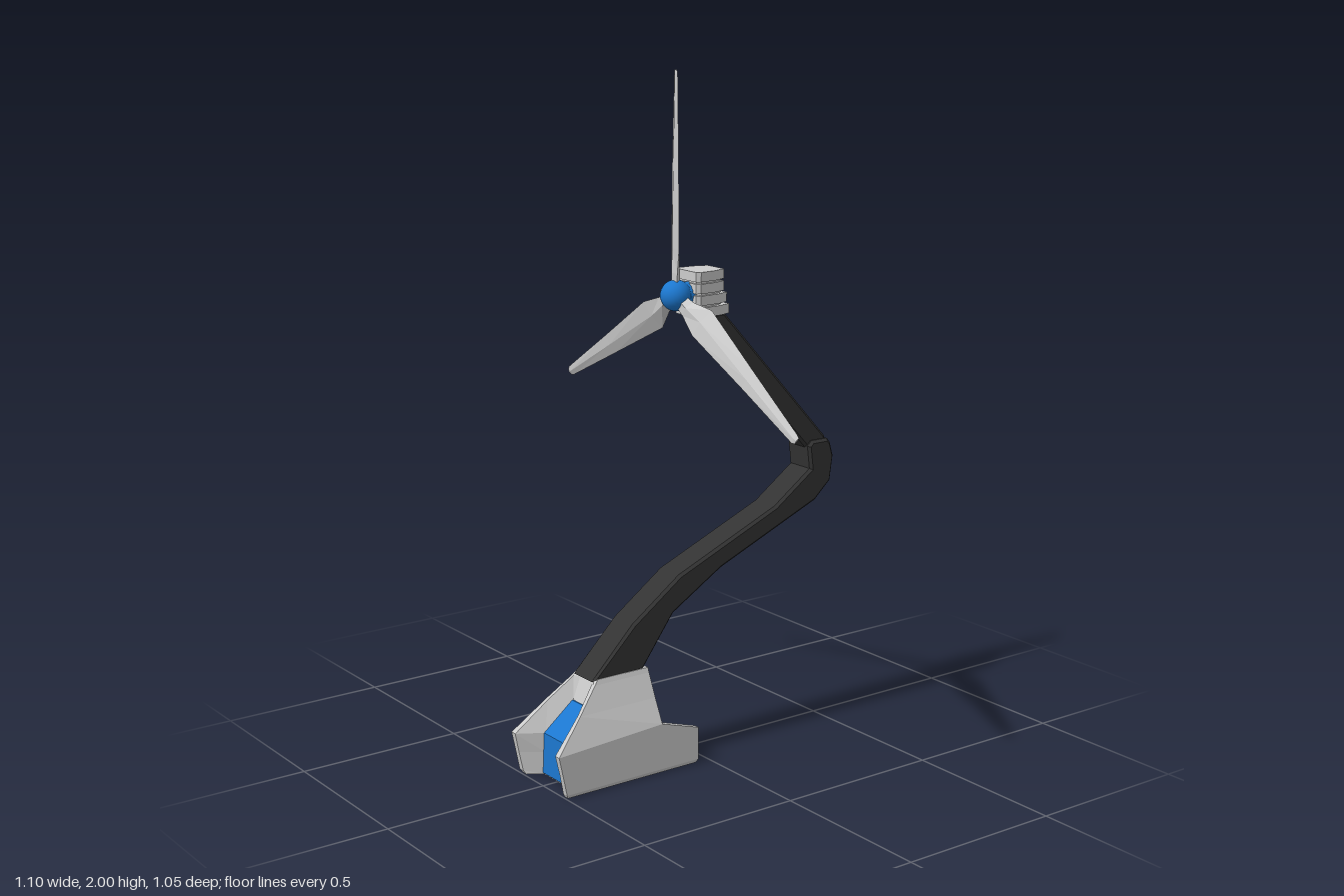
import * as THREE from 'three';

const paint = (color, flatShading = true) => new THREE.MeshStandardMaterial({ color, flatShading });
const GREY = paint(0xcccccc), BLACK = paint(0x333333), BLUE = paint(0x1c78d0), BLUE_SMOOTH = paint(0x1c78d0, false);

function add(parent, name, geometry, material) {
  const mesh = new THREE.Mesh(geometry, material);
  mesh.name = name;
  parent.add(mesh);
  return mesh;
}

// Skin a stack of rings ([x, y, z] points, running towards -z on the +x side), lowest first, with caps.
function loft(rings) {
  const n = rings[0].length, index = [];
  for (let i = 0; i < rings.length - 1; i++) {
    for (let j = 0; j < n; j++) {
      const a = i * n + j, b = i * n + (j + 1) % n;
      index.push(a, b, a + n, b, b + n, a + n);
    }
  }
  const cap = (ring, start, up) => {
    const flat = ring.map(p => new THREE.Vector2(p[0], -p[2]));
    for (const [a, b, c] of THREE.ShapeUtils.triangulateShape(flat, [])) {
      const area = flat[b].clone().sub(flat[a]).cross(flat[c].clone().sub(flat[a]));
      const tri = (area > 0) === up ? [a, b, c] : [a, c, b];
      index.push(...tri.map(k => start + k));
    }
  };
  cap(rings[0], 0, false);
  cap(rings.at(-1), (rings.length - 1) * n, true);
  const g = new THREE.BufferGeometry();
  g.setAttribute('position', new THREE.Float32BufferAttribute(rings.flat(2), 3));
  g.setIndex(index);
  g.computeVertexNormals();
  return g;
}

// Extrude a side profile of [z, y] points across x, with chamfered edges.
function sideExtrude(profile, halfWidth, bevel) {
  const shape = new THREE.Shape(profile.map(p => new THREE.Vector2(...p)));
  const depth = 2 * (halfWidth - bevel);
  const g = new THREE.ExtrudeGeometry(shape, {
    depth, bevelEnabled: bevel > 0, bevelSize: bevel, bevelThickness: bevel, bevelOffset: -bevel, bevelSegments: 1,
  });
  return g.translate(0, 0, -depth / 2).rotateY(-Math.PI / 2);
}

// Base: H-shaped plan, notched front and rear, tapering to the arm
function makeBase() {
  const base = new THREE.Group();
  base.name = 'base';
  // front y, rear y, outer x, prong inner x, notch x, front z, front notch z, rear z, rear notch z
  const levels = [
    [0, 0, 0.118, 0.1, 0.072, 0.493, 0.45, 0.047, 0.19],
    [0.012, 0.012, 0.125, 0.105, 0.071, 0.5, 0.45, 0.04, 0.19],
    [0.07, 0.11, 0.125, 0.107, 0.066, 0.512, 0.45, 0.04, 0.19],
    [0.13, 0.15, 0.125, 0.105, 0.06, 0.525, 0.45, 0.17, 0.2],
    [0.22, 0.22, 0.09, 0.078, 0.036, 0.43, 0.37, 0.17, 0.21],
    [0.288, 0.288, 0.059, 0.05, 0.032, 0.358, 0.348, 0.17, 0.178],
    [0.302, 0.302, 0.054, 0.045, 0.03, 0.345, 0.344, 0.17, 0.171],
  ];
  const rings = levels.map(([yf, yb, xo, xi, xn, zf, nf, zb, nb]) => [
    [xo, yf, zf], [xo, yb, zb], [xi, yb, zb], [xn, yb, nb],
    [-xn, yb, nb], [-xi, yb, zb], [-xo, yb, zb], [-xo, yf, zf],
    [-xi, yf, zf], [-xn, yf, nf], [xn, yf, nf], [xi, yf, zf],
  ]);
  add(base, 'baseShell', loft(rings), GREY);

  // Coloured core showing in both notches, narrower towards the top
  const core = sideExtrude([
    [0.454, 0.005], [0.454, 0.13], [0.374, 0.22], [0.206, 0.22], [0.195, 0.16],
    [0.125, 0.12], [0.125, 0.08], [0.186, 0.07], [0.186, 0.005],
  ], 1, 0);
  const pos = core.attributes.position;
  for (let i = 0; i < pos.count; i++) {
    const y = pos.getY(i);
    const half = y < 0.131 ? 0.072 - 0.077 * y : 0.062 - 0.29 * (y - 0.13);
    pos.setX(i, pos.getX(i) * half);
  }
  core.computeVertexNormals();
  add(base, 'baseCore', core, BLUE);
  return base;
}

// Housing: four stacked plates around a recessed middle
function makeHousing() {
  const housing = new THREE.Group();
  housing.name = 'housing';
  const plate = (y0, y1, back, inset) => {
    const w = 0.056 - inset, f = -0.006 - inset, b = back + inset;
    const ring = y => [
      [w, y, f - 0.012], [w - 0.003, y, b + 0.04], [w - 0.017, y, b], [-w + 0.017, y, b],
      [-w + 0.003, y, b + 0.04], [-w, y, f - 0.012], [-w + 0.008, y, f], [w - 0.008, y, f],
    ];
    return loft([ring(y0), ring(y1)]);
  };
  [-0.13, -0.122, -0.112, -0.112].forEach((back, i) => {
    const y = 1.306 + i * 0.034;
    add(housing, 'housingPlate', plate(y, y + 0.028, back, 0), GREY);
  });
  add(housing, 'housingMiddle', plate(1.31, 1.43, -0.112, 0.007), GREY);
  return housing;
}

// Blade: thin diamond section, twisted at the root and tapering to the tip
function makeBladeGeometry() {
  // radius, trailing x, leading x, half thickness, twist
  const stations = [
    [0.02, -0.02, 0.02, 0.012, 0.5],
    [0.065, -0.026, 0.024, 0.012, 0.45],
    [0.135, -0.053, 0.04, 0.009, 0.4],
    [0.38, -0.032, 0.028, 0.006, 0.33],
    [0.622, -0.011, 0.018, 0.004, 0.3],
    [0.632, -0.008, 0.012, 0.003, 0.3],
  ];
  return loft(stations.map(([r, x0, x1, t, twist]) => {
    const c = Math.cos(twist), s = Math.sin(twist), m = (x0 + x1) / 2;
    const section = [[x1, 0], [m, -t], [x0, 0], [m, t]];
    return section.map(([x, z]) => [x * c - z * s, r, x * s + z * c]);
  }));
}

function makeRotor() {
  const rotor = new THREE.Group();
  rotor.name = 'rotor';
  rotor.position.set(0, 1.368, 0.03);
  add(rotor, 'hub', new THREE.SphereGeometry(0.045, 24, 16), BLUE_SMOOTH);
  add(rotor, 'shaft', new THREE.CylinderGeometry(0.036, 0.036, 0.06, 16).rotateX(Math.PI / 2).translate(0, 0, -0.03), BLUE);
  const blade = makeBladeGeometry();
  for (let i = 0; i < 3; i++) {
    add(rotor, 'blade', blade, GREY).rotation.z = i * Math.PI * 2 / 3;
  }
  return rotor;
}

export function createModel() {
  const model = new THREE.Group();
  model.name = 'bentTurbine';
  model.add(makeBase());

  // Curved lower arm ending in the elbow
  add(model, 'lowerArm', sideExtrude([
    [0.36, 0.295], [0.217, 0.44], [0.053, 0.557], [-0.3, 0.705], [-0.434, 0.8], [-0.425, 0.87],
    [-0.44, 0.885], [-0.5, 0.885], [-0.512, 0.87], [-0.524, 0.828], [-0.513, 0.753],
    [-0.455, 0.7], [-0.1, 0.552], [0.074, 0.446], [0.185, 0.295],
  ], 0.052, 0.008), BLACK);

  // Straight upper arm leaning forward to the housing
  add(model, 'upperArm', sideExtrude([
    [-0.43, 0.86], [-0.5, 0.86], [-0.5, 0.89], [-0.115, 1.31], [-0.03, 1.31], [-0.03, 1.29],
  ], 0.04, 0.008), BLACK);

  model.add(makeHousing(), makeRotor());
  return model;
}
